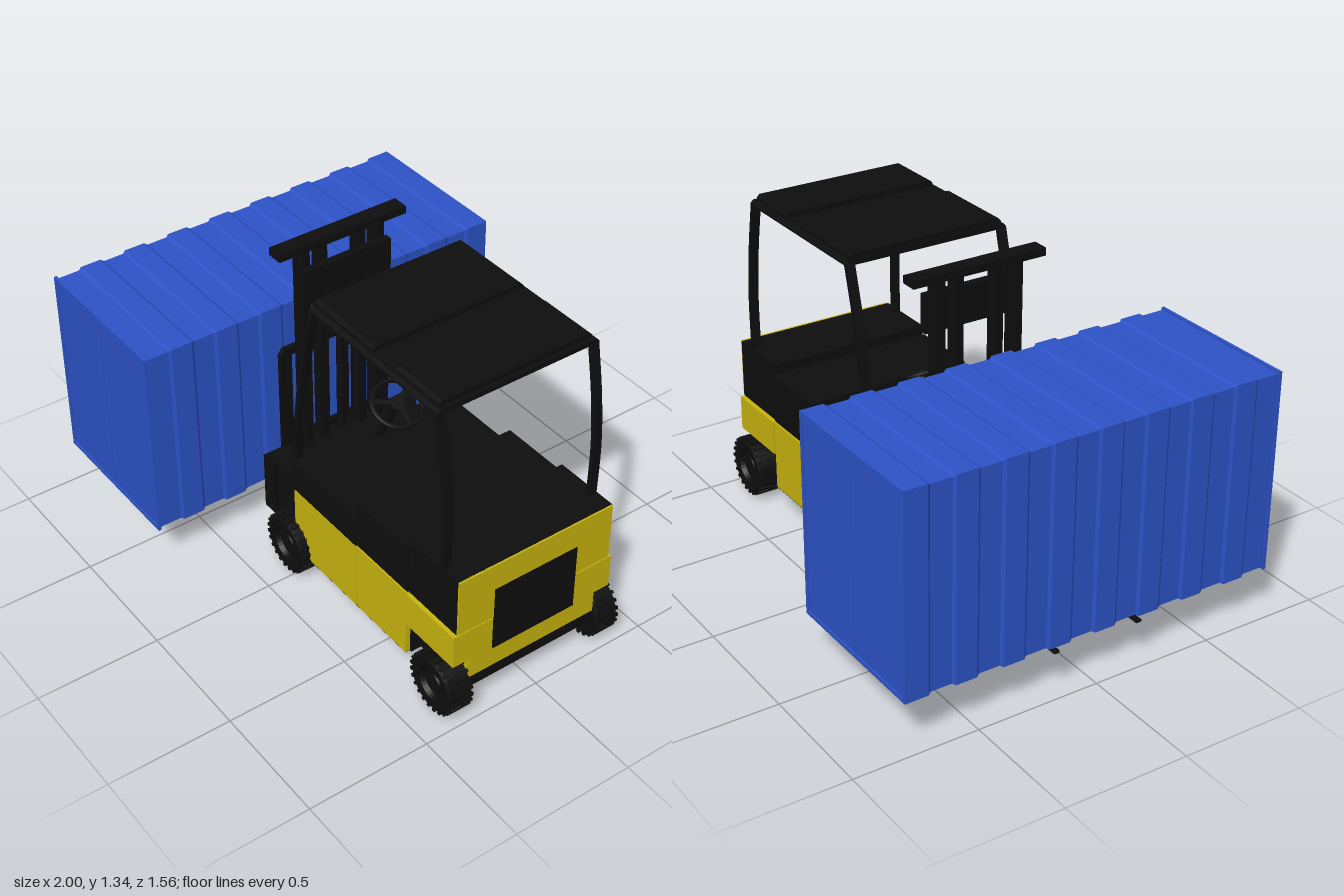
import * as THREE from 'three';

const mat = (color, extra) => {
  const m = new THREE.MeshStandardMaterial({ color, ...extra });
  return m;
};

export function createModel() {
  const root = new THREE.Group();
  const black = mat(0x0e0e0e), yellow = mat(0xc9b50f);
  const blue = mat(0x2d53c8, { flatShading: true });

  const add = (name, geo, material, parent = root) => {
    const m = new THREE.Mesh(geo, material);
    m.name = name;
    parent.add(m);
    return m;
  };
  // Box given by its limits on each axis
  const box = (name, x0, x1, y0, y1, z0, z1, material = black, parent = root) => {
    const m = add(name, new THREE.BoxGeometry(x1 - x0, y1 - y0, z1 - z0), material, parent);
    m.position.set((x0 + x1) / 2, (y0 + y1) / 2, (z0 + z1) / 2);
    return m;
  };
  const group = (name) => {
    const g = new THREE.Group();
    g.name = name;
    root.add(g);
    return g;
  };

  // Chassis and lower yellow panels, with narrow seams between them
  box('chassis', -0.01, 0.69, 0.108, 0.42, -0.335, 0.335);
  box('rearChassis', 0.68, 0.95, 0.108, 0.42, -0.29, 0.29);
  box('frontSidePanel', -0.02, 0.379, 0.11, 0.403, -0.355, 0.355, yellow);
  box('middleSidePanel', 0.383, 0.682, 0.11, 0.403, -0.355, 0.355, yellow);
  box('underside', -0.018, 0.68, 0.106, 0.112, -0.353, 0.353);
  box('counterweight', 0.685, 0.96, 0.26, 0.403, -0.36, 0.36, yellow);
  box('counterweightSkirt', 0.93, 0.96, 0.17, 0.26, -0.29, 0.29, yellow);

  // Upper body in three steps
  box('floorDeck', -0.02, 0.38, 0.408, 0.54, -0.358, 0.358);
  box('batteryCover', 0.38, 0.682, 0.408, 0.612, -0.352, 0.352);
  box('rearCover', 0.682, 0.955, 0.408, 0.652, -0.346, 0.346);
  box('rearPanel', 0.953, 0.962, 0.41, 0.652, -0.344, 0.344, yellow);
  box('rearGrille', 0.955, 0.966, 0.26, 0.54, -0.185, 0.185);

  // Front housing and axles
  box('frontHousing', -0.25, -0.18, 0.16, 0.41, -0.34, 0.34);
  box('frontFender', -0.18, -0.02, 0.2, 0.41, -0.325, 0.325);
  box('frontBelly', -0.18, -0.02, 0.11, 0.2, -0.28, 0.28);

  // Wheels: turned tyre with a dished hub, and tread lugs
  const tyre = new THREE.LatheGeometry([
    [0, -0.035], [0.03, -0.035], [0.035, -0.028], [0.062, -0.028], [0.07, -0.047], [0.105, -0.05],
    [0.118, -0.04], [0.118, 0.04], [0.105, 0.05], [0.07, 0.047], [0.062, 0.028], [0.035, 0.028],
    [0.03, 0.035], [0, 0.035],
  ].map(([r, y]) => new THREE.Vector2(r, y)), 32);
  tyre.rotateX(Math.PI / 2);
  const rubber = mat(0x0e0e0e, { flatShading: true });
  for (const x of [-0.045, 0.875]) for (const s of [1, -1]) {
    const wheel = group(x < 0 ? 'frontWheel' : 'rearWheel');
    wheel.position.set(x, 0.125, s * 0.34);
    add('tyre', tyre, rubber, wheel);
    for (let i = 0; i < 48; i++) {
      const a = (i / 48) * Math.PI * 2;
      const lug = box('treadLug', -0.006, 0.006, -0.006, 0.006, -0.025, 0.025, rubber, wheel);
      lug.position.set(Math.sin(a) * 0.119, Math.cos(a) * 0.119, i % 2 ? 0.022 : -0.022);
      lug.rotation.z = -a;
    }
  }
  for (const x of [-0.045, 0.875]) {
    const axle = add('axle', new THREE.CylinderGeometry(0.03, 0.03, 0.62, 16), black);
    axle.rotation.x = Math.PI / 2;
    axle.position.set(x, 0.125, 0);
  }

  // Overhead guard: curved pillars cut as flat strips
  const pillar = (name, pts, w) => {
    const curve = new THREE.CatmullRomCurve3(pts.map(([x, y]) => new THREE.Vector3(x, y, 0)));
    const mid = curve.getPoints(16);
    const side = (d) => mid.map((p) => new THREE.Vector2(p.x + d, p.y));
    const shape = new THREE.Shape([...side(w / 2), ...side(-w / 2).reverse()]);
    for (const z of [0.31, -0.345]) {
      const geo = new THREE.ExtrudeGeometry(shape, { depth: 0.035, bevelEnabled: false });
      add(name, geo, black).position.z = z;
    }
  };
  pillar('frontPillar', [[-0.035, 0.4], [-0.025, 0.6], [0.005, 0.85], [0.05, 1.08], [0.105, 1.29]], 0.02);
  pillar('rearPillar', [[0.862, 0.6], [0.866, 0.88], [0.847, 1.08], [0.81, 1.29]], 0.018);

  // Roof sheet and its two raised pads
  const slab = (name, x0, x1, y0, y1, half) => {
    const c = 0.012;
    const shape = new THREE.Shape([[-half, y0], [half, y0], [half, y1 - c], [half - c, y1], [c - half, y1], [-half, y1 - c]]
      .map(([z, y]) => new THREE.Vector2(-z, y)).reverse());
    const geo = new THREE.ExtrudeGeometry(shape, { depth: x1 - x0, bevelEnabled: false });
    geo.rotateY(Math.PI / 2);
    add(name, geo, black).position.x = x0;
  };
  slab('roof', 0.095, 0.82, 1.282, 1.302, 0.345);
  slab('roofFrontPad', 0.1, 0.44, 1.295, 1.325, 0.325);
  slab('roofRearPad', 0.57, 0.805, 1.295, 1.325, 0.325);

  // Steering column and wheel, tilted back toward the driver
  const steering = group('steering');
  steering.position.set(0.145, 0.75, 0);
  steering.rotation.z = -0.48;
  add('steeringColumn', new THREE.CylinderGeometry(0.015, 0.018, 0.25, 12), black, steering).position.y = -0.125;
  const rim = add('steeringRim', new THREE.TorusGeometry(0.098, 0.009, 8, 32), black, steering);
  rim.rotation.x = Math.PI / 2;
  add('steeringHub', new THREE.CylinderGeometry(0.028, 0.028, 0.016, 16), black, steering);
  for (let i = 0; i < 3; i++) {
    const spoke = add('steeringSpoke', new THREE.BoxGeometry(0.098, 0.008, 0.02).translate(0.049, 0, 0), black, steering);
    spoke.rotation.y = (i * 2 * Math.PI) / 3;
  }

  // Mast: outer and inner rails, cross members and lift cylinder
  const mast = group('mast');
  for (const s of [1, -1]) {
    for (const [z, x0, x1] of [[0.165, -0.25, -0.185], [0.085, -0.245, -0.19]])
      box('mastRail', x0, x1, 0.16, 1.325, s * z - 0.016, s * z + 0.016, black, mast);
  }
  box('mastTopBar', -0.25, -0.183, 1.305, 1.336, -0.28, 0.28, black, mast);
  box('mastCrossPlate', -0.19, -0.16, 1.09, 1.24, -0.195, 0.195, black, mast);
  const lift = add('liftCylinder', new THREE.CylinderGeometry(0.016, 0.016, 0.66, 12), black, mast);
  lift.position.set(-0.215, 0.52, 0);

  // Load backrest: rounded frame with bars
  const rest = group('backrest');
  const shape = new THREE.Shape();
  shape.moveTo(-0.25, 0.38).lineTo(0.25, 0.38).lineTo(0.25, 0.84).lineTo(0.23, 0.865)
    .lineTo(-0.23, 0.865).lineTo(-0.25, 0.84).closePath();
  const opening = (a, b) => shape.holes.push(new THREE.Path(
    [[a, 0.44], [a, 0.83], [b, 0.83], [b, 0.44]].map(([z, y]) => new THREE.Vector2(z, y))));
  [[-0.2, -0.06], [-0.04, 0.04], [0.06, 0.2]].forEach(([a, b]) => opening(a, b));
  const frame = new THREE.ExtrudeGeometry(shape, { depth: 0.02, bevelEnabled: false }).rotateY(Math.PI / 2);
  add('backrestFrame', frame, black, rest).position.x = -0.265;
  box('carriageBar', -0.265, -0.245, 0.24, 0.29, -0.22, 0.22, black, rest);

  // Forks
  for (const s of [1, -1]) {
    const z = s * 0.178;
    box('forkBlade', -1, -0.265, 0.192, 0.202, z - 0.011, z + 0.011);
    box('forkShank', -0.275, -0.263, 0.192, 0.44, z - 0.011, z + 0.011);
  }

  // Cargo container: box whose length is stepped into shallow ribs
  const crate = group('container');
  crate.position.set(-0.65, 0.605, 0);
  const ribs = 8, n = ribs * 4, L = 1.548, pitch = L / ribs;
  const hull = new THREE.BoxGeometry(0.66, 0.806, L, 1, 1, n);
  const p = hull.attributes.position;
  for (let i = 0; i < p.count; i++) {
    const k = Math.round((p.getZ(i) / L + 0.5) * n);
    const inset = k % 4 > 1 || k === n ? 0.007 : 0;
    p.setZ(i, -L / 2 + (Math.floor(k / 4) + [0, 0.44, 0.5, 0.94][k % 4]) * pitch);
    p.setX(i, p.getX(i) - Math.sign(p.getX(i)) * inset);
    p.setY(i, p.getY(i) - Math.sign(p.getY(i)) * inset);
  }
  add('containerHull', hull, blue, crate);

  // Container ends: rim and two door leaves
  const rect = (C, w, h) => new C([[-w, -h], [w, -h], [w, h], [-w, h]].map(([x, y]) => new THREE.Vector2(x, y)));
  const rimShape = rect(THREE.Shape, 0.33, 0.404);
  rimShape.holes.push(rect(THREE.Path, 0.314, 0.39));
  for (const s of [1, -1]) {
    const rimGeo = new THREE.ExtrudeGeometry(rimShape, { depth: 0.012, bevelEnabled: false });
    add('containerRim', rimGeo, blue, crate).position.z = s > 0 ? 0.77 : -0.782;
    for (const d of [1, -1]) {
      const z = s * 0.775;
      box('containerDoor', d * 0.158 - 0.152, d * 0.158 + 0.152, -0.386, 0.386, z - 0.003, z + 0.003, blue, crate);
    }
  }
  return root;
}
